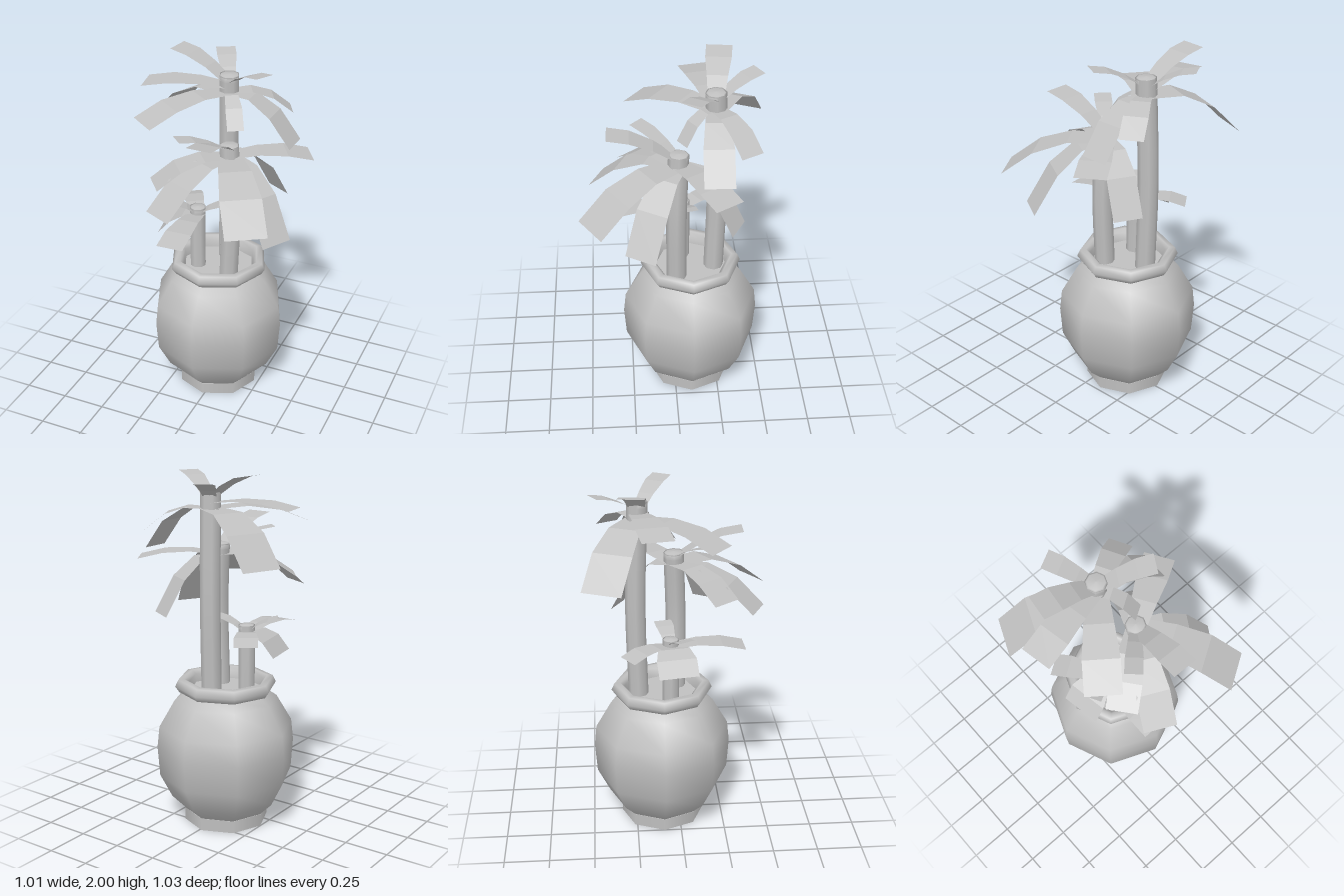
import * as THREE from 'three';

const clay = new THREE.MeshStandardMaterial({ color: 0xc0c0c0, side: THREE.DoubleSide });
clay.name = 'plain grey';

const POT_X = -0.012, POT_Z = -0.095;

function add(group, geometry, name) {
  const mesh = new THREE.Mesh(geometry, clay);
  mesh.name = name;
  group.add(mesh);
  return mesh;
}

// eight-sided turned part from [radius, y] pairs
function turned(profile) {
  return new THREE.LatheGeometry(profile.map(([r, y]) => new THREE.Vector2(r, y)), 8);
}

// arched strip of three flat facets, from the trunk top to the end point
function leafGeometry(base, end, width) {
  const ctrl = base.clone().lerp(end, 0.55);
  ctrl.y = Math.max(base.y + 0.05, end.y - 0.005);
  const curve = new THREE.QuadraticBezierCurve3(base, ctrl, end);
  const side = new THREE.Vector3(end.z - base.z, 0, base.x - end.x).normalize();
  const rows = [0, 1, 2, 3].map(i => {
    const p = curve.getPoint(i / 3);
    const half = width * (0.3 + 0.2 * Math.min(1, i / 2));
    return [p.clone().addScaledVector(side, half), p.clone().addScaledVector(side, -half)];
  });
  const points = [];
  for (let i = 0; i < 3; i++) {
    const [a, b] = rows[i], [c, d] = rows[i + 1];
    points.push(a, b, c, b, d, c);
  }
  const geometry = new THREE.BufferGeometry().setFromPoints(points);
  geometry.computeVertexNormals();
  // keep the front side upwards
  if (geometry.attributes.normal.getY(0) < 0) {
    for (let i = 0; i < points.length; i += 3) [points[i], points[i + 1]] = [points[i + 1], points[i]];
    geometry.setFromPoints(points);
    geometry.computeVertexNormals();
  }
  return geometry;
}

// path: trunk centre line; leaves: [x, y, z of the end, width, optional base height]
function palm({ name, radius, path, leafY, leaves }) {
  const group = new THREE.Group();
  group.name = name;
  const curve = new THREE.CatmullRomCurve3(path.map(p => new THREE.Vector3(...p)));
  add(group, new THREE.TubeGeometry(curve, 6, radius, 8), 'trunk');
  const top = curve.getPoint(1);
  add(group, turned([[radius, -0.03], [radius, -0.008], [radius * 0.85, 0], [0, 0.005]]), 'trunkCap')
    .position.copy(top);
  for (const [x, y, z, width, baseY = leafY] of leaves) {
    const end = new THREE.Vector3(x, y, z);
    const base = new THREE.Vector3(top.x, baseY, top.z);
    add(group, leafGeometry(base, end, width), 'leaf');
  }
  return group;
}

const palms = [
  {
    name: 'tallPalm', radius: 0.056, leafY: 1.8,
    path: [[-0.01, 0.74, -0.225], [-0.012, 1.3, -0.237], [-0.005, 1.895, -0.218]],
    leaves: [
      [-0.465, 1.55, -0.42, 0.22],
      [-0.468, 1.82, -0.13, 0.17, 1.83],
      [-0.333, 1.998, -0.262, 0.14, 1.85],
      [-0.128, 1.955, -0.453, 0.107, 1.84],
      [0.297, 1.69, -0.38, 0.13],
      [0.383, 1.56, -0.21, 0.16],
      [0.253, 1.972, -0.072, 0.11, 1.84],
      [-0.325, 1.72, 0.2, 0.19],
      [0.11, 1.66, -0.035, 0.09],
    ],
  },
  {
    name: 'middlePalm', radius: 0.056, leafY: 1.52,
    path: [[0.085, 0.74, -0.01], [0.1, 1.2, -0.008], [0.08, 1.58, -0.02]],
    leaves: [
      [0.07, 1.71, 0.355, 0.14, 1.55],
      [-0.128, 1.665, 0.198, 0.095, 1.55],
      [0.46, 1.5, -0.255, 0.17],
      [0.445, 1.17, 0.2, 0.18],
      [0.375, 1.32, 0.455, 0.22],
      [-0.138, 1.315, 0.423, 0.18],
      [-0.245, 1.4, 0.24, 0.17],
      [0.255, 1.21, -0.33, 0.16],
    ],
  },
  {
    name: 'smallPalm', radius: 0.046, leafY: 1.11,
    path: [[-0.12, 0.74, -0.05], [-0.122, 0.95, -0.05], [-0.12, 1.15, -0.05]],
    leaves: [
      [-0.105, 1.1, 0.355, 0.15],
      [-0.325, 1.01, -0.015, 0.22],
      [-0.28, 1.1, -0.29, 0.13],
      [0.05, 1.19, -0.085, 0.1],
      [-0.27, 1.195, 0.03, 0.1],
    ],
  },
];

export function createModel() {
  const model = new THREE.Group();
  model.name = 'pottedPalms';

  // pot
  const pot = new THREE.Group();
  pot.name = 'pot';
  pot.position.set(POT_X, 0, POT_Z);
  add(pot, turned([[0, 0], [0.238, 0]]), 'potBottom');
  add(pot, turned([[0.238, 0], [0.238, 0.07]]), 'potFoot');
  add(pot, turned([
    [0.235, 0.07], [0.31, 0.145], [0.378, 0.28], [0.39, 0.45], [0.377, 0.57], [0.29, 0.72], [0.225, 0.765],
  ]), 'potBody');
  add(pot, turned([
    [0.225, 0.765], [0.262, 0.767], [0.285, 0.8], [0.268, 0.838], [0.235, 0.842], [0.212, 0.82], [0.205, 0.77],
  ]), 'potRim');
  add(pot, turned([[0.21, 0.775], [0, 0.775]]), 'soil');
  model.add(pot);

  // plants
  for (const spec of palms) model.add(palm(spec));
  return model;
}
